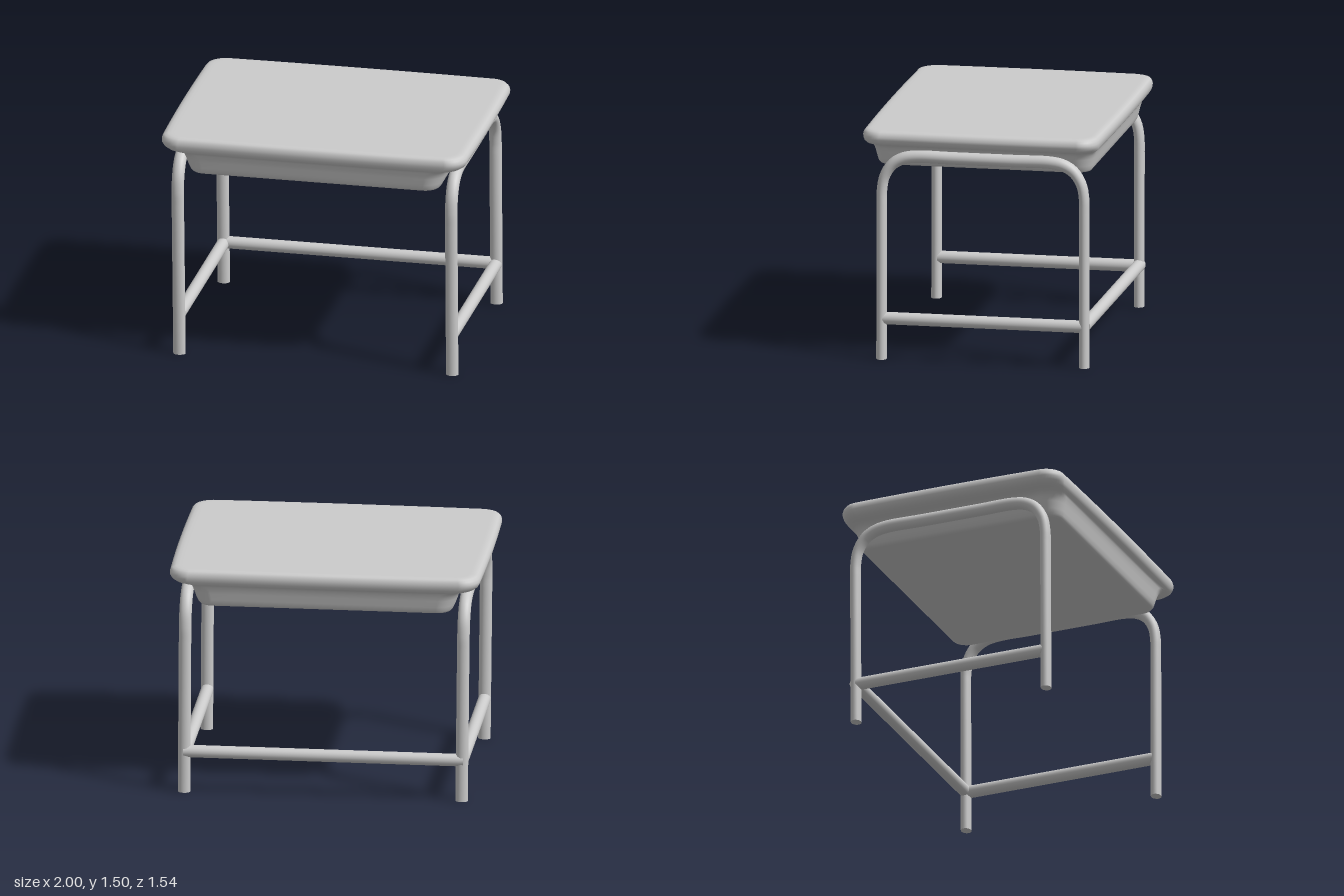
import * as THREE from 'three';

const material = new THREE.MeshStandardMaterial({ color: 0xcccccc });

function addMesh(parent, geometry, name) {
  const mesh = new THREE.Mesh(geometry, material);
  mesh.name = name;
  parent.add(mesh);
  return mesh;
}

// Rounded rectangle with slightly bowed sides, as [x, z] pairs
function outline(hx, hz, r, bow) {
  const points = [];
  const corners = [[1, 1], [-1, 1], [-1, -1], [1, -1]];
  corners.forEach(([sx, sz], c) => {
    for (let i = 0; i <= 10; i++) {
      const a = (c + i / 10) * Math.PI / 2;
      points.push([sx * (hx - r) + r * Math.cos(a), sz * (hz - r) + r * Math.sin(a)]);
    }
    // points along the straight side that follows this corner
    for (let i = 1; i < 8; i++) {
      const t = 1 - i / 4;
      if (c % 2 === 0) points.push([sx * t * (hx - r), sz * hz]);
      else points.push([sx * hx, sz * t * (hz - r)]);
    }
  });
  return points.map(([x, z]) => [
    x - Math.sign(x) * bow * (z / hz) ** 2,
    z - Math.sign(z) * bow * (x / hx) ** 2,
  ]);
}

// Closed skin through a stack of outlines, from the bottom up
function loft(sections) {
  const positions = [], index = [];
  let n = 0;
  for (const [hx, hz, r, y, bow] of sections) {
    const ring = outline(hx, hz, r, bow);
    n = ring.length;
    for (const [x, z] of ring) positions.push(x, y, z);
  }
  const last = sections.length - 1;
  const bottom = positions.length / 3, top = bottom + 1;
  positions.push(0, sections[0][3], 0, 0, sections[last][3], 0);
  for (let i = 0; i < n; i++) {
    const j = (i + 1) % n;
    for (let k = 0; k < last; k++) {
      const a = k * n + i, b = k * n + j;
      index.push(a, a + n, b, b, a + n, b + n);
    }
    index.push(bottom, i, j, top, last * n + j, last * n + i);
  }
  const geometry = new THREE.BufferGeometry();
  geometry.setAttribute('position', new THREE.Float32BufferAttribute(positions, 3));
  geometry.setIndex(index);
  geometry.computeVertexNormals();
  return geometry;
}

// Straight round bar between two points
function bar(parent, from, to, name) {
  const a = new THREE.Vector3(...from), b = new THREE.Vector3(...to);
  const mesh = addMesh(parent, new THREE.CylinderGeometry(0.04, 0.04, a.distanceTo(b), 24), name);
  mesh.position.copy(a).add(b).multiplyScalar(0.5);
  mesh.quaternion.setFromUnitVectors(new THREE.Vector3(0, 1, 0), b.sub(a).normalize());
}

// Bent tube forming the front and back leg of one side
function legFrame(x, lean, name) {
  const frame = new THREE.Group();
  frame.name = name;
  const flat = 0.83; // the tube is a little thinner front to back
  const half = [[0.657, 0], [0.657, 0.35], [0.657, 0.7], [0.657, 1.0], [0.655, 1.1],
    [0.638, 1.19], [0.59, 1.267], [0.525, 1.308], [0.44, 1.325], [0.2, 1.325]];
  const path = [...half, ...half.map(([z, y]) => [-z, y]).reverse()];
  const curve = new THREE.CatmullRomCurve3(path.map(([z, y]) =>
    new THREE.Vector3(x + lean * (1 - y / 1.325), y, z / flat)));
  const tube = new THREE.TubeGeometry(curve, 140, 0.04, 24);
  tube.scale(1, 1, flat);
  addMesh(frame, tube, 'bentLegTube');
  for (const side of [1, -1]) {
    const cap = addMesh(frame, new THREE.CircleGeometry(0.04, 24), 'legEnd');
    cap.rotation.x = Math.PI / 2;
    cap.scale.y = flat;
    cap.position.set(x + lean, 0, side * 0.657);
  }
  frame.position.z = -0.017;
  return frame;
}

export function createModel() {
  const model = new THREE.Group();
  model.name = 'desk';

  // Desk top and the shallow tray under it: half x, half z, corner radius, y, bow
  addMesh(model, loft([
    [0.765, 0.645, 0.06, 1.243, 0],
    [0.785, 0.665, 0.08, 1.243, 0],
    [0.802, 0.682, 0.09, 1.248, 0],
    [0.815, 0.692, 0.10, 1.262, 0],
    [0.828, 0.700, 0.11, 1.29, 0],
    [0.845, 0.710, 0.12, 1.335, 0],
    [0.853, 0.717, 0.12, 1.36, 0],
    [0.868, 0.724, 0.12, 1.38, 0],
    [0.895, 0.731, 0.12, 1.391, 0.004],
    [0.935, 0.742, 0.12, 1.397, 0.008],
    [0.965, 0.755, 0.12, 1.406, 0.01],
    [0.988, 0.766, 0.12, 1.422, 0.012],
    [0.999, 0.771, 0.12, 1.443, 0.012],
    [1.000, 0.772, 0.12, 1.46, 0.012],
    [0.995, 0.768, 0.12, 1.479, 0.012],
    [0.982, 0.758, 0.11, 1.493, 0.012],
    [0.962, 0.742, 0.10, 1.499, 0.012],
    [0.940, 0.722, 0.09, 1.5, 0.012],
    [0.915, 0.700, 0.08, 1.5, 0.012],
  ]), 'deskTop');

  // Leg frames
  model.add(legFrame(0.889, 0.008, 'leftLegFrame'), legFrame(-0.892, 0.014, 'rightLegFrame'));

  // Stretchers: one on each side, one across the back
  bar(model, [0.893, 0.265, 0.63], [0.893, 0.265, -0.665], 'leftStretcher');
  bar(model, [-0.88, 0.265, 0.63], [-0.88, 0.265, -0.665], 'rightStretcher');
  bar(model, [-0.89, 0.27, -0.674], [0.9, 0.27, -0.674], 'backStretcher');

  return model;
}
